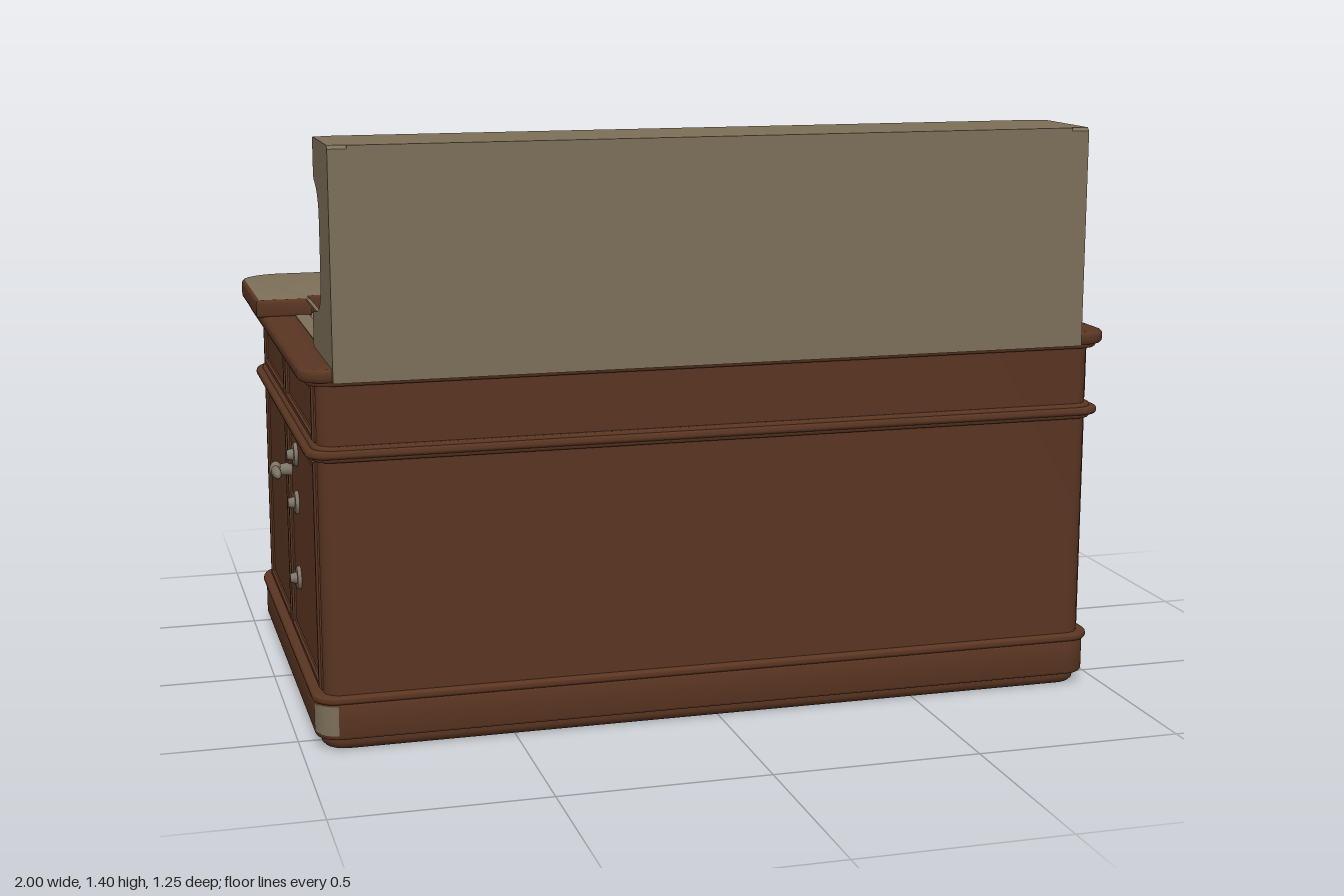
import * as THREE from 'three';
import { toCreasedNormals } from 'three/addons/utils/BufferGeometryUtils.js';

const mat = (name, color) => {
  const m = new THREE.MeshStandardMaterial({ color });
  m.name = name;
  return m;
};

export function createModel() {
  const wood = mat('brown wood', 0x5a3522);
  const taupe = mat('taupe surface', 0x7c6f59);
  const groove = mat('dark groove', 0x321d13);
  const metal = mat('aged metal', 0x7f7566);
  const root = new THREE.Group();
  root.name = 'desk';

  const add = (name, geo, material, x = 0, y = 0, z = 0, parent = root) => {
    const m = new THREE.Mesh(geo, material);
    m.name = name;
    m.position.set(x, y, z);
    parent.add(m);
    return m;
  };
  const box = (name, material, x0, x1, y0, y1, z0, z1, parent = root) =>
    add(name, new THREE.BoxGeometry(x1 - x0, y1 - y0, z1 - z0), material,
      (x0 + x1) / 2, (y0 + y1) / 2, (z0 + z1) / 2, parent);

  // Plan outline with separate radii for the rear and front corners (plan y = -z)
  const outline = (w, zBack, zFront, rBack, rFront, Type = THREE.Shape) => {
    const s = new Type(), b = -zBack, f = -zFront;
    s.moveTo(-w + rFront, f);
    s.lineTo(w - rFront, f);
    s.absarc(w - rFront, f + rFront, rFront, -Math.PI / 2, 0);
    s.lineTo(w, b - rBack);
    s.absarc(w - rBack, b - rBack, rBack, 0, Math.PI / 2);
    s.lineTo(-w + rBack, b);
    s.absarc(-w + rBack, b - rBack, rBack, Math.PI / 2, Math.PI);
    s.lineTo(-w, f + rFront);
    s.absarc(-w + rFront, f + rFront, rFront, Math.PI, Math.PI * 1.5);
    return s;
  };
  // Extrudes a plan shape from y0 to y1, rounding its outer edges by bevel
  const slab = (shape, y0, y1, bevel = 0) => {
    const g = new THREE.ExtrudeGeometry(shape, {
      depth: y1 - y0 - 2 * bevel, bevelEnabled: bevel > 0, bevelThickness: bevel,
      bevelSize: bevel, bevelOffset: -bevel, bevelSegments: 3, curveSegments: 10 });
    g.rotateX(-Math.PI / 2).translate(0, y0 + bevel, 0);
    return toCreasedNormals(g, 0.6);
  };
  const ring = (name, w, zBack, zFront, rb, rf, y0, y1, bevel, thick) => {
    const s = outline(w, zBack, zFront, rb, rf);
    s.holes.push(outline(w - thick, zBack + thick, zFront - thick, 0.05, 0.03, THREE.Path));
    return add(name, slab(s, y0, y1, bevel), wood);
  };

  // Hollow cabinet with its mouldings
  ring('cabinetWalls', 0.945, -0.558, 0.595, 0.1, 0.04, 0.03, 0.88, 0, 0.04);
  ring('plinthFoot', 0.95, -0.562, 0.59, 0.1, 0.06, 0, 0.05, 0.018, 0.06);
  ring('plinth', 0.965, -0.577, 0.605, 0.11, 0.06, 0.03, 0.118, 0.006, 0.06);
  ring('plinthCap', 0.972, -0.582, 0.61, 0.11, 0.06, 0.115, 0.135, 0.008, 0.07);
  ring('beltLower', 0.958, -0.57, 0.606, 0.11, 0.05, 0.683, 0.72, 0.006, 0.05);
  ring('beltBead', 0.974, -0.584, 0.614, 0.12, 0.05, 0.692, 0.712, 0.009, 0.06);
  ring('topMoulding', 0.968, -0.572, 0.608, 0.11, 0.05, 0.858, 0.88, 0.008, 0.08);
  ring('topRim', 0.985, -0.585, 0.616, 0.12, 0.06, 0.868, 0.9, 0.01, 0.1);

  // Worn corners of the plinth on the right-hand side
  [[0.545, 0, 0.06], [-0.467, Math.PI * 1.5 - Math.PI * 2, 0.11]].forEach(([z, , r], i) => {
    const start = i === 0 ? -Math.PI / 2 : Math.PI;
    add('wornCorner', new THREE.CylinderGeometry(r + 0.002, r + 0.002, 0.07, 8, 1, true,
      start + 0.1, Math.PI / 2 - 0.3), taupe, -0.965 + r, 0.076, z);
  });

  // Raised frame around a recessed panel, facing +z
  const frame = (w, h, border) => {
    const rect = (S, a, b) => {
      const s = new S();
      s.moveTo(-a, -b); s.lineTo(a, -b); s.lineTo(a, b); s.lineTo(-a, b); s.closePath();
      return s;
    };
    const s = rect(THREE.Shape, w / 2, h / 2);
    s.holes.push(rect(THREE.Path, w / 2 - border, h / 2 - border));
    return new THREE.ExtrudeGeometry(s, { depth: 0.006, bevelThickness: 0.005,
      bevelSize: 0.005, bevelOffset: -0.005, bevelSegments: 1 });
  };
  const rows = [[0.14, 0.68], [0.722, 0.86]];

  // Rear panels: three drawers over three doors
  const rear = new THREE.Group();
  rear.name = 'rearFace';
  rear.position.z = -0.556;
  rear.rotation.y = Math.PI;
  root.add(rear);
  for (const [y0, y1] of rows) {
    for (const [x0, x1] of [[-0.84, -0.345], [-0.33, 0.33], [0.345, 0.84]])
      add('rearPanelFrame', frame(x1 - x0, y1 - y0, 0.022), wood, (x0 + x1) / 2, (y0 + y1) / 2, 0, rear);
    for (const x of [-0.3375, 0.3375])
      box('rearGap', groove, x - 0.008, x + 0.008, y0, y1, 0, 0.006, rear);
  }
  // Drawer pulls with a recessed plate; one has an extra square catch
  const pull = (x, w) => {
    add('pullFrame', frame(w, 0.075, 0.012), metal, x, 0.792, 0.004, rear);
    box('pullPlate', metal, x - w / 2 + 0.01, x + w / 2 - 0.01, 0.76, 0.824, 0, 0.006, rear);
    box('pullGrip', metal, x - w * 0.33, x + w * 0.33, 0.785, 0.806, 0.004, 0.018, rear);
  };
  pull(-0.62, 0.2);
  pull(0.6, 0.2);
  pull(0.75, 0.085);

  // Side faces, each with two drawers, two doors, dials and a lever
  for (const s of [1, -1]) {
    const side = new THREE.Group();
    side.name = s > 0 ? 'leftFace' : 'rightFace';
    side.position.x = s * 0.943;
    side.rotation.y = s * Math.PI / 2;
    root.add(side);
    const at = z => -s * z; // world z to local x
    for (const [y0, y1] of rows) {
      for (const [za, zb] of [[0.03, 0.555], [-0.455, 0.008]])
        add('sidePanelFrame', frame(zb - za, y1 - y0, 0.02), wood, at((za + zb) / 2), (y0 + y1) / 2, 0, side);
      box('doorGap', groove, at(0.019) - 0.012, at(0.019) + 0.012, y0, y1, 0, 0.006, side);
    }
    for (const y of [0.61, 0.49, 0.3]) {
      const plate = add('dialPlate', new THREE.CylinderGeometry(0.028, 0.031, 0.012, 12), metal, at(0.16), y, 0.005, side);
      plate.rotation.x = Math.PI / 2;
      const knob = add('dialKnob', new THREE.CylinderGeometry(0.011, 0.016, 0.018, 10), metal, at(0.16), y, 0.018, side);
      knob.rotation.x = Math.PI / 2;
    }
    const stem = add('leverStem', new THREE.CylinderGeometry(0.012, 0.018, 0.045, 10), metal, at(0.04), 0.547, 0.024, side);
    stem.rotation.x = Math.PI / 2;
    const lever = add('lever', new THREE.SphereGeometry(1, 12, 8), metal, at(0.07), 0.547, 0.043, side);
    lever.scale.set(0.05, 0.014, 0.012);
    const knob = add('leverKnob', new THREE.SphereGeometry(0.021, 12, 8), metal, at(0.038), 0.547, 0.041, side);
    knob.scale.z = 0.75;
  }

  // Rear top slab, with rounded corners, a stepped inner edge and a round hole
  const top = new THREE.Shape();
  top.moveTo(-1, 0.15);
  top.lineTo(-0.86, 0.15); top.lineTo(-0.86, 0.19);
  top.quadraticCurveTo(-0.86, 0.2, -0.84, 0.2);
  top.lineTo(0.84, 0.2);
  top.quadraticCurveTo(0.86, 0.2, 0.86, 0.19);
  top.lineTo(0.86, 0.15); top.lineTo(1, 0.15);
  top.lineTo(1, 0.52);
  top.absarc(0.89, 0.515, 0.11, 0, Math.PI / 2);
  top.absarc(-0.89, 0.515, 0.11, Math.PI / 2, Math.PI);
  const hole = new THREE.Path();
  hole.absarc(0, 0.46, 0.08, 0, Math.PI * 2, true);
  top.holes.push(hole);
  add('rearTop', slab(top, 0.896, 0.942, 0.008), [taupe, wood]);

  // Sunken writing surface with a rounded rise toward the upright
  const bed = new THREE.Shape();
  bed.moveTo(0.45, 0.85); bed.lineTo(0.45, 0.872); bed.lineTo(-0.23, 0.872);
  bed.quadraticCurveTo(-0.24, 0.892, -0.28, 0.895);
  bed.lineTo(-0.56, 0.895); bed.lineTo(-0.56, 0.85);
  const bedGeo = new THREE.ExtrudeGeometry(bed, { depth: 1.74, bevelEnabled: false });
  bedGeo.rotateY(Math.PI / 2).translate(-0.87, 0, 0);
  add('writingSurface', toCreasedNormals(bedGeo, 0.6), taupe);
  for (const s of [-1, 1]) {
    const x = s * 0.84;
    box('innerRail', taupe, x - 0.012, x + 0.012, 0.865, 0.898, -0.2, 0.37);
    box('edgeStrip', taupe, s * 0.885 - 0.018, s * 0.885 + 0.018, 0.88, 0.902, -0.2, 0.32);
    box('slideRod', taupe, s * 0.868 - 0.005, s * 0.868 + 0.005, 0.936, 0.941, -0.2, 0.31);
  }

  // Upright screen: shaped end walls, a front panel and a top box
  const end = new THREE.Shape(); // shape x = -z
  end.moveTo(-0.63, 0.87); end.lineTo(-0.617, 0.87); end.lineTo(-0.617, 0.9);
  end.lineTo(-0.3, 0.9); end.lineTo(-0.3, 0.975);
  end.quadraticCurveTo(-0.302, 0.984, -0.315, 0.985);
  end.lineTo(-0.37, 0.992);
  end.bezierCurveTo(-0.43, 1.0, -0.46, 1.03, -0.46, 1.08);
  end.lineTo(-0.46, 1.22);
  end.bezierCurveTo(-0.46, 1.26, -0.43, 1.29, -0.385, 1.3);
  end.lineTo(-0.378, 1.31);
  end.lineTo(-0.378, 1.39); end.lineTo(-0.386, 1.398);
  end.lineTo(-0.622, 1.398); end.lineTo(-0.63, 1.39);
  const endGeo = toCreasedNormals(new THREE.ExtrudeGeometry(end,
    { depth: 0.045, bevelEnabled: false, curveSegments: 10 }).rotateY(Math.PI / 2), 0.6);
  add('screenEnd', endGeo, taupe, -0.913);
  add('screenEnd', endGeo, taupe, 0.856);
  box('screenPanel', taupe, -0.87, 0.858, 0.89, 1.36, 0.53, 0.63);
  box('screenSkirt', taupe, -0.87, 0.858, 0.87, 0.9, 0.617, 0.63);
  box('screenTop', taupe, -0.87, 0.858, 1.3, 1.398, 0.378, 0.63);

  return root;
}
